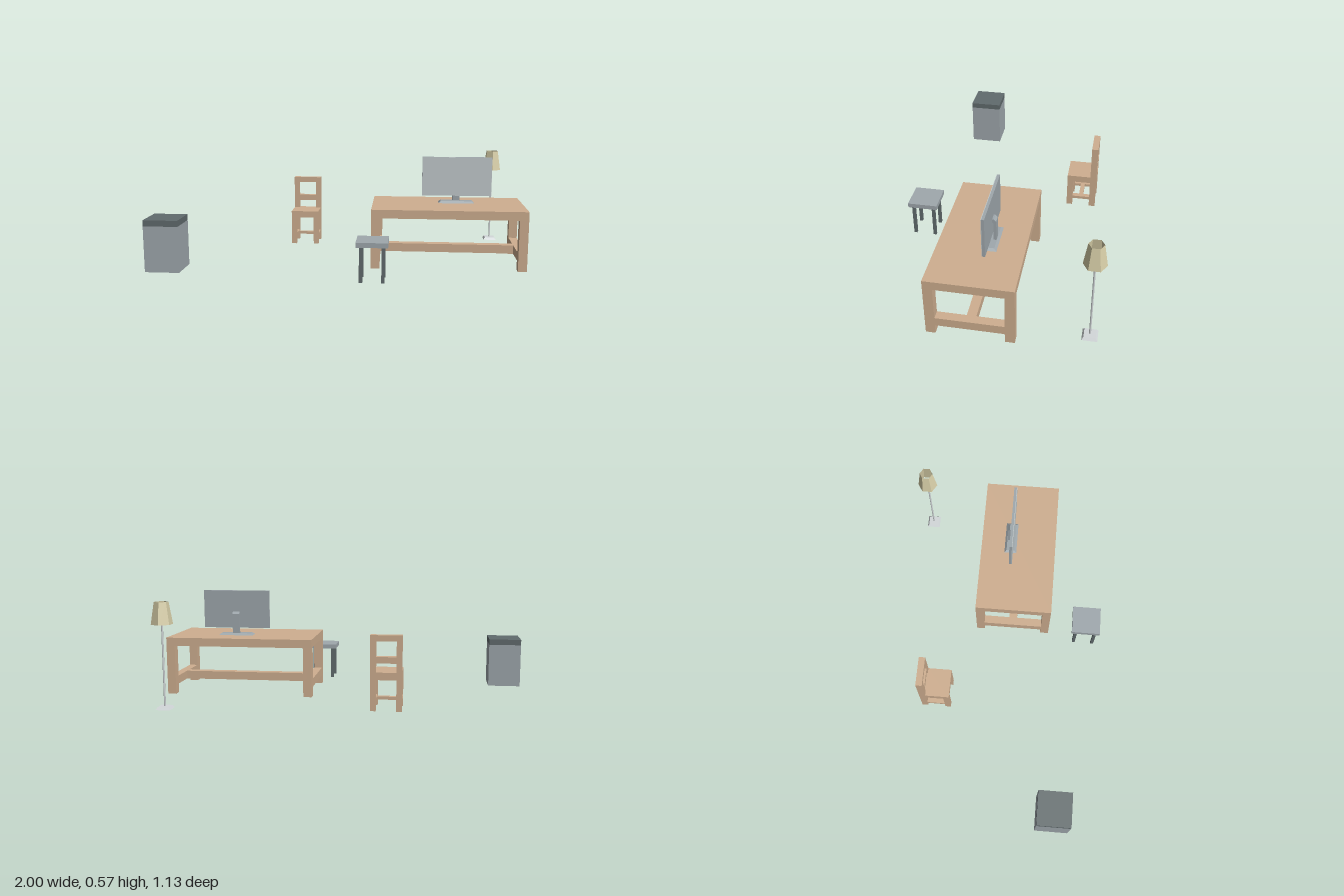
import * as THREE from 'three';

const mat = (name, color, side = THREE.FrontSide) =>
  Object.assign(new THREE.MeshStandardMaterial({ color, side }), { name });

export function createModel() {
  const wood = mat('wood', 0xcfaf90);
  const metal = mat('grey metal', 0x9fa8ad);
  const dark = mat('dark grey', 0x616b6d);
  const light = mat('light metal', 0xd3d8da);
  const glass = mat('screen glass', 0xc3cbcd);
  const cloth = mat('lampshade cloth', 0xd8cfa8, THREE.DoubleSide);

  const model = new THREE.Group();
  const group = (name) => {
    const g = new THREE.Group();
    g.name = name;
    model.add(g);
    return g;
  };
  const add = (parent, name, geometry, material, x = 0, y = 0, z = 0) => {
    const m = new THREE.Mesh(geometry, material);
    m.name = name;
    m.position.set(x, y, z);
    parent.add(m);
    return m;
  };
  // Box given by its minimum and maximum on each axis
  const box = (parent, name, material, [x0, x1], [y0, y1], [z0, z1]) =>
    add(parent, name, new THREE.BoxGeometry(x1 - x0, y1 - y0, z1 - z0), material,
      (x0 + x1) / 2, (y0 + y1) / 2, (z0 + z1) / 2);
  // Box whose top face is drawn in by an inset
  const taperedBox = (w, h, d, inset) => {
    const g = new THREE.BoxGeometry(w, h, d);
    const p = g.attributes.position;
    for (let i = 0; i < p.count; i++) {
      if (p.getY(i) < 0) continue;
      p.setX(i, p.getX(i) - Math.sign(p.getX(i)) * inset);
      p.setZ(i, p.getZ(i) - Math.sign(p.getZ(i)) * inset);
    }
    g.computeVertexNormals();
    return g;
  };

  // Desk: slab top, four legs, H-shaped stretcher
  const desk = group('desk');
  box(desk, 'deskTop', wood, [0.178, 1], [0.274, 0.32], [-0.163, 0.271]);
  for (const x of [[0.178, 0.225], [0.953, 1]]) {
    for (const z of [[-0.163, -0.115], [0.223, 0.271]])
      box(desk, 'deskLeg', wood, x, [0, 0.274], z);
    box(desk, 'sideStretcher', wood, x, [0.05, 0.096], [-0.115, 0.223]);
  }
  box(desk, 'longStretcher', wood, [0.225, 0.953], [0.05, 0.096], [0.03, 0.077]);

  // Monitor: panel with glass front, bent stand, tapered foot
  const monitor = group('monitor');
  box(monitor, 'panel', metal, [0.449, 0.829], [0.36, 0.574], [0.008, 0.022]);
  box(monitor, 'screen', glass, [0.449, 0.829], [0.36, 0.574], [0.022, 0.025]);
  add(monitor, 'foot', taperedBox(0.195, 0.011, 0.07, 0.012), metal, 0.639, 0.3255, 0.009);
  // Side profile of the stand; shape x runs towards the back
  const profile = new THREE.Shape([
    [-0.008, 0.453], [-0.008, 0.436], [-0.002, 0.43], [-0.002, 0.33],
    [0.012, 0.33], [0.012, 0.442], [0.001, 0.453],
  ].map(([x, y]) => new THREE.Vector2(x, y)));
  const stand = new THREE.ExtrudeGeometry(profile, { depth: 0.04, bevelEnabled: false });
  stand.rotateY(Math.PI / 2);
  add(monitor, 'stand', stand, metal, 0.619);

  // Chair: posts, seat, two back rails, H-shaped stretcher
  const chair = group('chair');
  box(chair, 'seat', wood, [-0.331, -0.168], [0.162, 0.201], [-0.405, -0.271]);
  for (const x of [[-0.331, -0.302], [-0.197, -0.168]]) {
    box(chair, 'frontLeg', wood, x, [0, 0.162], [-0.304, -0.271]);
    box(chair, 'backPost', wood, x, [0, 0.392], [-0.439, -0.404]);
    box(chair, 'sideStretcher', wood, x, [0.045, 0.061], [-0.404, -0.304]);
  }
  box(chair, 'middleStretcher', wood, [-0.302, -0.197], [0.045, 0.061], [-0.366, -0.342]);
  box(chair, 'seatBackEdge', wood, [-0.302, -0.197], [0.162, 0.201], [-0.439, -0.404]);
  box(chair, 'topRail', wood, [-0.302, -0.197], [0.361, 0.392], [-0.439, -0.404]);
  box(chair, 'lowerRail', wood, [-0.302, -0.197], [0.248, 0.281], [-0.439, -0.404]);

  // Stool: square seat on thin legs
  const stool = group('stool');
  box(stool, 'stoolSeat', metal, [0.116, 0.277], [0.184, 0.209], [0.403, 0.565]);
  for (const sx of [-1, 1])
    for (const sz of [-1, 1])
      box(stool, 'stoolLeg', dark,
        [0.188 + sx * 0.056, 0.205 + sx * 0.056], [0, 0.184],
        [0.476 + sz * 0.056, 0.493 + sz * 0.056]);

  // Cabinet with dark lid
  const cabinet = group('cabinet');
  box(cabinet, 'cabinetBody', metal, [-1, -0.816], [0, 0.246], [0.264, 0.448]);
  box(cabinet, 'cabinetLid', dark, [-1, -0.816], [0.246, 0.278], [0.264, 0.448]);

  // Floor lamp: square foot, thin pole, open six-sided shade
  const lamp = group('floorLamp');
  lamp.position.set(0.889, 0, -0.507);
  add(lamp, 'lampFoot', taperedBox(0.076, 0.014, 0.076, 0.009), light, 0, 0.007, 0);
  add(lamp, 'lampPole', new THREE.CylinderGeometry(0.005, 0.005, 0.486, 6).toNonIndexed(),
    light, 0, 0.257, 0);
  const shade = new THREE.CylinderGeometry(0.037, 0.056, 0.115, 6, 1, true).toNonIndexed();
  shade.computeVertexNormals();
  add(lamp, 'lampShade', shade, cloth, 0, 0.4975, 0);

  return model;
}
